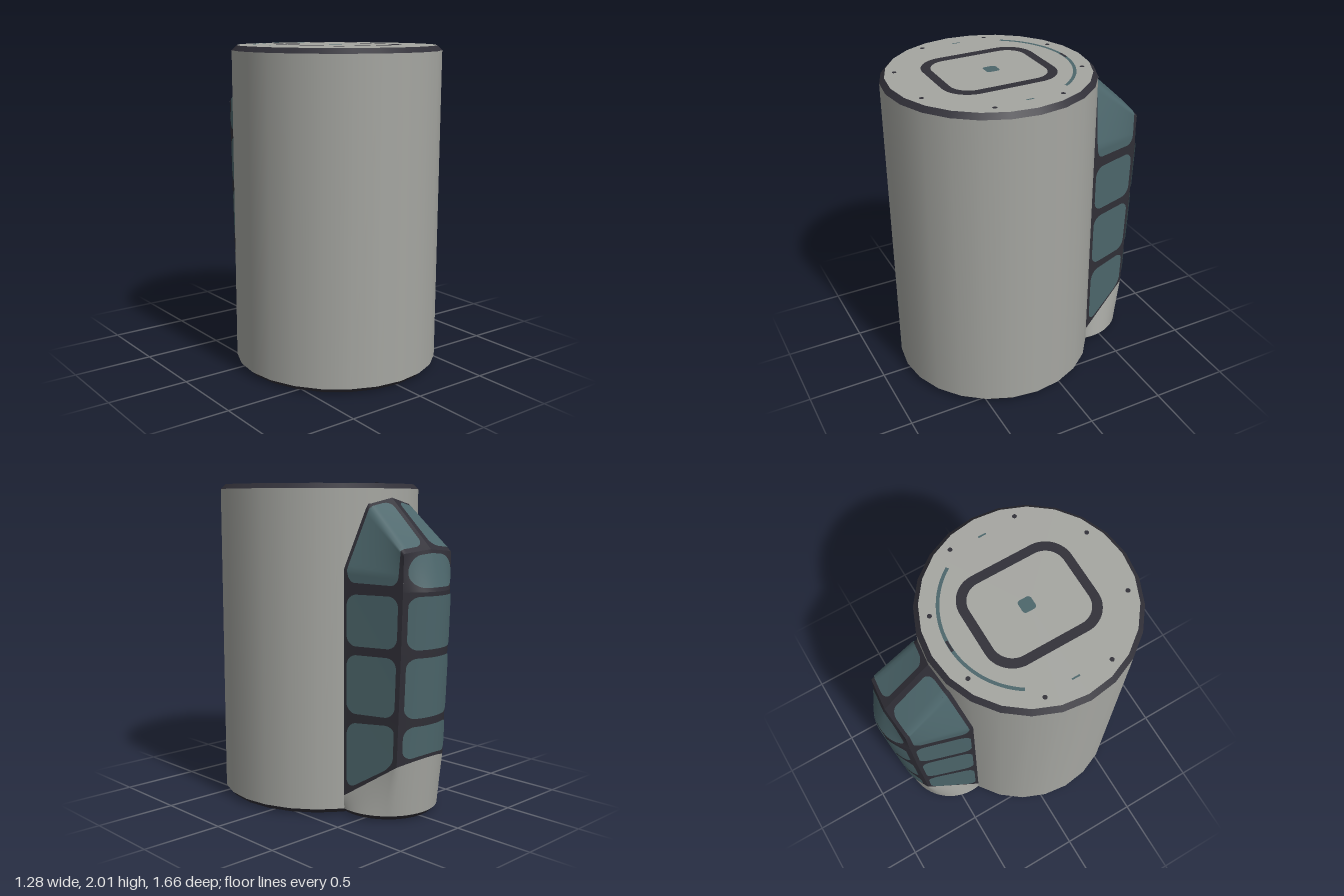
import * as THREE from 'three';

const V = (x, y, z) => new THREE.Vector3(x, y, z);
const mat = (name, color) => new THREE.MeshStandardMaterial({ name, color, side: THREE.DoubleSide });
const mix = (a, b, t) => a.clone().lerp(b, t);

export function createModel() {
  const root = new THREE.Group();
  root.name = 'canister';
  const grey = mat('shell grey', 0xa5a6a1);
  const dark = mat('trim charcoal', 0x302f37);
  const teal = mat('panel teal', 0x4c666b);
  const AXIS = 0.19, R = 0.64, CH = 0.03;

  function add(parent, name, geo, material, x = 0, y = 0, z = 0) {
    const m = new THREE.Mesh(geo, material);
    m.name = name;
    m.position.set(x, y, z);
    parent.add(m);
    return m;
  }

  // Grid surface from a rule f(u, v) -> point
  function surface(f, nu, nv) {
    const pos = [], idx = [];
    for (let j = 0; j <= nv; j++)
      for (let i = 0; i <= nu; i++) pos.push(...f(i / nu, j / nv).toArray());
    for (let j = 0; j < nv; j++)
      for (let i = 0; i < nu; i++) {
        const a = j * (nu + 1) + i, b = a + nu + 1;
        idx.push(a, a + 1, b, a + 1, b + 1, b);
      }
    const g = new THREE.BufferGeometry();
    g.setAttribute('position', new THREE.Float32BufferAttribute(pos, 3));
    g.setIndex(idx);
    g.computeVertexNormals();
    return g;
  }

  // Rounded plate lying just above a patch, inset from its border
  function plate(f, inset = 0.026, radius = 0.065, lift = 0.005) {
    const lu = f(0, 0.5).distanceTo(f(1, 0.5)), lv = f(0.5, 0).distanceTo(f(0.5, 1));
    const hu = 0.5 - inset / lu, hv = 0.5 - inset / lv;
    const ru = Math.min(1, radius / lu / hu), rv = Math.min(1, radius / lv / hv);
    return surface((s, t) => {
      const b = Math.sin((t - 0.5) * Math.PI);
      const d = Math.min(1, Math.max(0, (Math.abs(b) - 1 + rv) / rv));
      const a = (2 * s - 1) * (1 - ru * (1 - Math.sqrt(1 - d * d)));
      const u = 0.5 + a * hu, v = 0.5 + b * hv, e = 0.005;
      const p = f(u, v);
      const n = f(u + e, v).sub(f(u - e, v)).cross(f(u, v + e).sub(f(u, v - e))).normalize();
      if (n.dot(V(p.x, 0, p.z + 0.35)) < 0) n.negate();
      return p.addScaledVector(n, lift);
    }, 16, 28);
  }

  // Main drum with chamfered rims
  const body = new THREE.Group();
  body.name = 'body';
  root.add(body);
  add(body, 'drumWall', new THREE.CylinderGeometry(R, R, 2 - 2 * CH, 24, 1, true), grey, 0, 1, AXIS);
  add(body, 'topRim', new THREE.CylinderGeometry(R - CH, R, CH, 24, 1, true), dark, 0, 2 - CH / 2, AXIS);
  add(body, 'bottomRim', new THREE.CylinderGeometry(R, R - CH, CH, 24, 1, true), dark, 0, CH / 2, AXIS);

  // End faces with their painted marks
  function roundRect(P, w, h, r) {
    const p = new P();
    p.moveTo(w, h - r);
    p.absarc(w - r, h - r, r, 0, Math.PI / 2);
    p.absarc(r - w, h - r, r, Math.PI / 2, Math.PI);
    p.absarc(r - w, r - h, r, Math.PI, Math.PI * 1.5);
    p.absarc(w - r, r - h, r, Math.PI * 1.5, Math.PI * 2);
    p.closePath();
    return p;
  }
  const flat = (g) => g.rotateX(-Math.PI / 2);
  function endFace(name) {
    const g = new THREE.Group();
    g.name = name;
    add(g, 'cap', flat(new THREE.CircleGeometry(R - CH, 24, Math.PI / 2)), grey);
    const frame = roundRect(THREE.Shape, 0.305, 0.36, 0.17);
    frame.holes.push(roundRect(THREE.Path, 0.248, 0.305, 0.12));
    add(g, 'squareRing', flat(new THREE.ShapeGeometry(frame, 8)), dark, 0, 0.003);
    const dot = roundRect(THREE.Shape, 0.042, 0.042, 0.02);
    add(g, 'centreDot', flat(new THREE.ShapeGeometry(dot, 4)), teal, 0, 0.003, -0.015);
    add(g, 'arcMark', flat(new THREE.RingGeometry(0.492, 0.512, 32, 1, 0.59, Math.PI - 1.18)), teal, 0, 0.003);
    add(g, 'arcNotch', flat(new THREE.PlaneGeometry(0.07, 0.016)), dark, 0, 0.005, -0.502);
    for (const s of [-1, 1])
      add(g, 'sideTick', flat(new THREE.PlaneGeometry(0.01, 0.05)), teal, s * 0.495, 0.003, -0.01);
    for (let k = 0; k < 8; k++) {
      const a = (k + 0.5) * Math.PI / 4;
      add(g, 'stud', flat(new THREE.CircleGeometry(0.014, 10)), dark, 0.55 * Math.cos(a), 0.003, 0.55 * Math.sin(a));
    }
    root.add(g);
    return g;
  }
  endFace('topFace').position.set(0, 2, AXIS);
  const bottom = endFace('bottomFace');
  bottom.position.set(0, 0, AXIS);
  bottom.rotation.x = Math.PI;

  // Rear pod: levels as [corner y, back y, corner z, back z, curve power]
  const pod = new THREE.Group();
  pod.name = 'rearPod';
  root.add(pod);
  const levels = [
    [0.34, 0.38, -0.70, -0.77, 2.2],
    [0.61, 0.61, -0.71, -0.785, 2.2],
    [1.02, 1.02, -0.725, -0.81, 2.2],
    [1.38, 1.38, -0.735, -0.83, 2.2],
    [1.60, 1.62, -0.74, -0.76, 1],
  ];
  const rootY = [0.11, 0.61, 1.02, 1.38];
  const edge = ([yc, yb, zc, zb, p], s) => {
    const k = 1 - Math.pow(Math.abs(s), p);
    return V(0.21 * s, yc + (yb - yc) * k, zc + (zb - zc) * k);
  };
  const foot = (i, s) => V(0.32 * s, rootY[i], -0.36);
  function panel(name, f, inset, radius) {
    add(pod, name + 'Frame', surface(f, 16, 24), dark);
    add(pod, name + 'Panel', plate(f, inset, radius), teal);
  }

  // Back column, the highest panel being the rounded cap
  for (let i = 0; i < 4; i++)
    panel(i === 3 ? 'cap' : 'back',
      (u, v) => mix(edge(levels[i], 1 - 2 * u), edge(levels[i + 1], 1 - 2 * u), v), 0.024, i === 3 ? 0.1 : 0.06);

  for (const s of [1, -1]) {
    // Side columns
    for (let i = 0; i < 3; i++)
      panel('side', (u, v) => mix(mix(foot(i, s), edge(levels[i], s), u), mix(foot(i + 1, s), edge(levels[i + 1], s), u), v));

    // Sloped shoulder, wrapping from the side up to the spine
    const stops = [0, 0.16, 0.66, 1];
    const inner = [foot(3, s), V(0.32 * s, 1.5, -0.36), V(0.18 * s, 1.88, -0.422), V(0, 1.92, -0.445)];
    const outer = [edge(levels[3], s), V(0.21 * s, 1.47, -0.737), edge(levels[4], s), edge(levels[4], 0)];
    const along = (pts, t) => {
      const i = t < stops[1] ? 0 : t < stops[2] ? 1 : 2;
      return mix(pts[i], pts[i + 1], (t - stops[i]) / (stops[i + 1] - stops[i]));
    };
    panel('shoulder', (u, v) => mix(along(inner, v), along(outer, v), u), 0.028, 0.05);
  }

  // Grey fairing blending the pod into a round base
  const topEdge = (u) => {
    const a = 0.28;
    if (u < a) return mix(foot(0, 1), edge(levels[0], 1), u / a);
    if (u > 1 - a) return mix(foot(0, -1), edge(levels[0], -1), (1 - u) / a);
    return edge(levels[0], 1 - 2 * (u - a) / (1 - 2 * a));
  };
  const baseEdge = (u) => {
    const t = -0.2 + u * (Math.PI + 0.4);
    return V(0.32 * Math.cos(t), CH, -0.42 - 0.32 * Math.sin(t));
  };
  add(pod, 'fairing', surface((u, v) => mix(baseEdge(u), topEdge(u), v), 50, 6), grey);
  add(pod, 'baseRim', new THREE.CylinderGeometry(0.32, 0.29, CH, 32, 1, true), dark, 0, CH / 2, -0.42);
  add(pod, 'baseCap', new THREE.CircleGeometry(0.29, 32).rotateX(Math.PI / 2), grey, 0, 0, -0.42);
  add(pod, 'baseArc', new THREE.RingGeometry(0.19, 0.21, 20, 1, Math.PI * 1.25, Math.PI / 2).rotateX(Math.PI / 2), dark, 0, -0.003, -0.42);

  return root;
}
